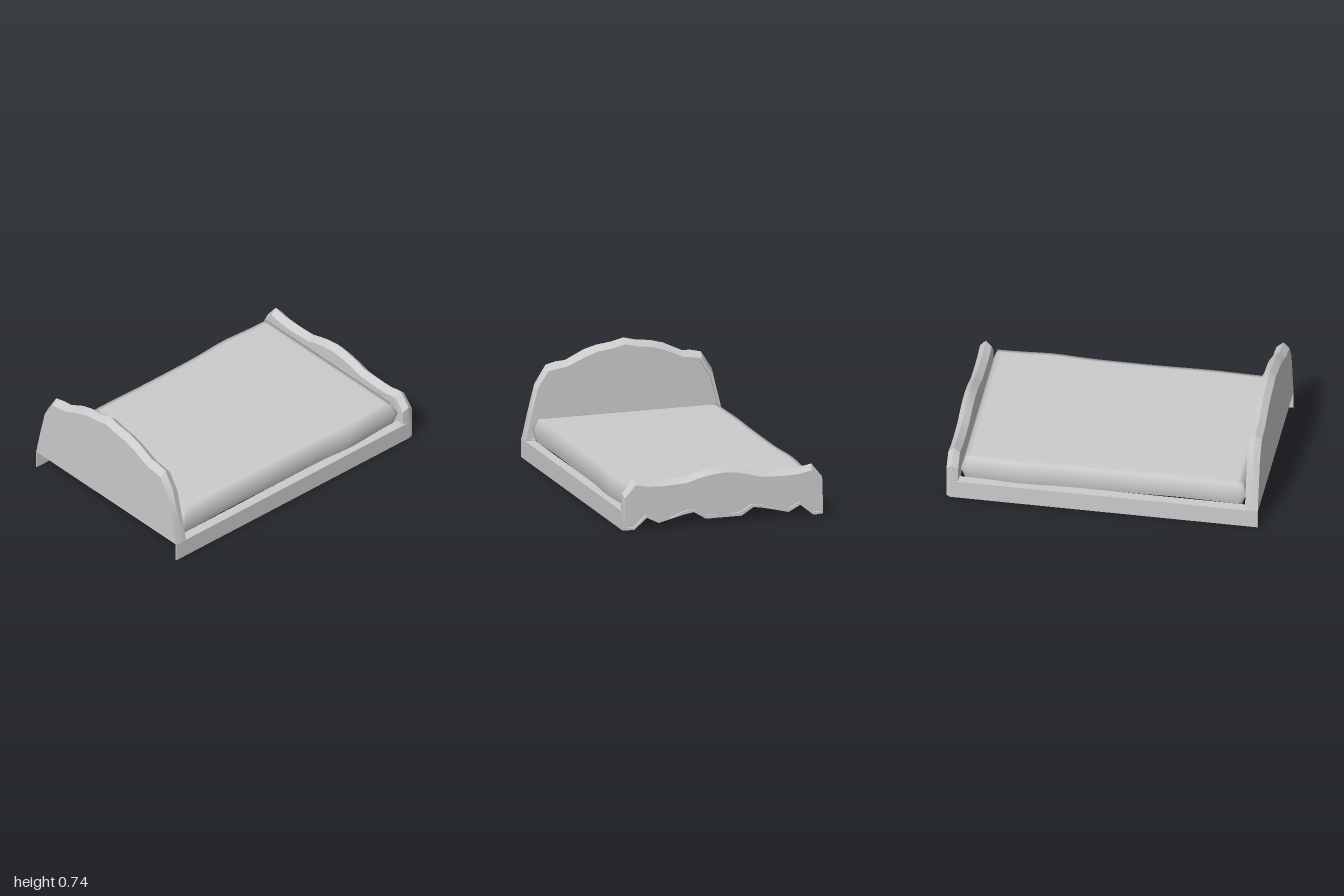
import * as THREE from 'three';
import { mergeGeometries, mergeVertices, toCreasedNormals } from 'three/addons/utils/BufferGeometryUtils.js';

const grey = new THREE.MeshStandardMaterial({ color: 0xcccccc });
const greyShell = new THREE.MeshStandardMaterial({ color: 0xcccccc, side: THREE.DoubleSide });

// Half outline (top centre, outwards, down to bottom centre) -> closed counter-clockwise loop
function mirrorLoop(half) {
  const left = half.filter(p => p[0] > 0).map(([u, v]) => [-u, v]).reverse();
  return [...half, ...left].reverse();
}
const mirrorPanel = loop => loop.map(([u, v]) => [-u, v]).reverse();
const toVectors = loop => loop.map(([u, v]) => new THREE.Vector2(u, v));

// Wall joining two loops of equal length at depths wa < wb
function band(a, wa, b, wb) {
  const pos = [];
  a.forEach((p, i) => {
    const j = (i + 1) % a.length, q = a[j], r = b[j], s = b[i];
    pos.push(...p, wa, ...q, wa, ...r, wb, ...p, wa, ...r, wb, ...s, wb);
  });
  const g = new THREE.BufferGeometry();
  g.setAttribute('position', new THREE.Float32BufferAttribute(pos, 3));
  return g;
}

function cap(loop, w, holes = [], back = false) {
  const shape = new THREE.Shape(toVectors(loop));
  shape.holes = holes.map(h => new THREE.Path(toVectors(h)));
  let g = new THREE.ShapeGeometry(shape);
  if (back) g.rotateY(Math.PI);
  g = g.translate(0, 0, w).toNonIndexed();
  g.deleteAttribute('uv');
  g.deleteAttribute('normal');
  return g;
}

// Board standing across x: two faces, a pointed rim and sunken panels on the +x face
function board(name, halves, panels, xs, recess) {
  const [back, ridge, face] = halves.map(mirrorLoop), [x0, xr, x1] = xs;
  const parts = [
    cap(back, x0, [], true), band(back, x0, ridge, xr), band(ridge, xr, face, x1), cap(face, x1, panels)
  ];
  for (const p of panels) {
    const r = [...p].reverse();
    parts.push(band(r, x1 - recess, r, x1), cap(p, x1 - recess));
  }
  const g = toCreasedNormals(mergeGeometries(parts).rotateY(Math.PI / 2), 0.5);
  const mesh = new THREE.Mesh(g, grey);
  mesh.name = name;
  return mesh;
}

function box(name, w, h, d, x, y, z) {
  const mesh = new THREE.Mesh(new THREE.BoxGeometry(w, h, d).translate(x, y, z), grey);
  mesh.name = name;
  return mesh;
}

// Soft hollow slab, open below: bulging sides, narrow rounding on top, gently uneven edges
function mattress() {
  const nx = 24, nz = 16;
  let g = new THREE.BoxGeometry(2, 2, 2, nx, 2, nz);
  const under = g.groups[3];
  g.setIndex([...g.index.array].filter((v, i) => i < under.start || i >= under.start + under.count));
  g.clearGroups();
  g.deleteAttribute('uv');
  g.deleteAttribute('normal');
  g = mergeVertices(g);
  const p = g.attributes.position;
  // moves the outermost inner ring of a grid to the given fraction of the half width
  const spread = (t, n, ring) => (Math.abs(t) > 0.999 ? t : t * ring / (1 - 2 / n));
  for (let i = 0; i < p.count; i++) {
    const x = p.getX(i), y = p.getY(i), z = p.getZ(i);
    const top = y > 0.5, bottom = y < -0.5;
    const u = spread(x, nx, 0.965), w = spread(z, nz, 0.95);
    const inside = Math.abs(x) < 0.999 && Math.abs(z) < 0.999;
    const bulge = 0.017 * Math.exp(-(((u - 0.6) / 0.2) ** 2));
    const hx = top || bottom ? 0.888 : 0.914;
    const hz = (top ? 0.598 : bottom ? 0.605 : 0.623) + bulge;
    const wave = 0.006 * Math.exp(-(((u + 0.55) / 0.25) ** 2));
    let h = 0.198;
    if (top) h = 0.27 + wave + (inside ? 0.003 : 0);
    if (bottom) h = 0.122 + wave;
    p.setXYZ(i, u * hx, h, w * hz);
  }
  g.computeVertexNormals();
  const mesh = new THREE.Mesh(g, greyShell);
  mesh.name = 'mattress';
  return mesh;
}

export function createModel() {
  const bed = new THREE.Group();
  bed.name = 'bed';

  // Tall headboard with one large sunken panel
  const headRidge = [[0, .735], [.08, .715], [.18, .703], [.265, .68], [.39, .62], [.45, .617], [.52, .6],
    [.593, .485], [.64, .28], [.67, .12], [0, .12]];
  const headFace = [[0, .7], [.08, .68], [.18, .668], [.265, .64], [.39, .585], [.45, .578], [.515, .565],
    [.585, .46], [.633, .27], [.667, .12], [0, .12]];
  const headPanel = mirrorLoop([[0, .685], [.08, .664], [.18, .65], [.265, .622], [.39, .57], [.44, .565], [.5, .55],
    [.572, .438], [.61, .29], [.635, .13], [0, .13]]);
  bed.add(board('headboard', [headFace, headRidge, headFace], [headPanel], [-1, -.96, -.917], .02));

  // Low footboard with a scalloped lower edge and four sunken panels
  const footBottom = [[.6, .003], [.513, .075], [.435, .035], [.27, .075], [.2, .087], [.12, .037], [0, .037]];
  const backBottom = [[.6, .003], [.56, .1], [.435, .115], [.27, .115], [.2, .115], [.12, .115], [0, .115]];
  const footRidge = [[0, .367], [.09, .356], [.17, .336], [.25, .312], [.4, .31], [.5, .312], [.597, .33],
    [.67, .24], [.67, .003], ...footBottom];
  const footTop = [[0, .329], [.09, .32], [.17, .303], [.25, .28], [.4, .273], [.5, .277], [.59, .294],
    [.66, .215], [.664, .006]];
  const sidePanel = [[.435, .055], [.515, .095], [.6, .02], [.648, .02], [.652, .205], [.575, .276],
    [.5, .26], [.435, .253]];
  const midPanel = [[.04, .055], [.11, .058], [.19, .105], [.27, .095], [.36, .055], [.36, .253],
    [.25, .262], [.14, .3], [.04, .312]];
  const panels = [sidePanel, midPanel].flatMap(p => [p, mirrorPanel(p)]);
  const footHalves = [[...footTop, ...backBottom], footRidge, [...footTop, ...footBottom]];
  bed.add(board('footboard', footHalves, panels, [.925, .965, 1], .015));

  // Side rails: thin outer boards with a ledge under the mattress edge
  for (const s of [1, -1]) {
    const rail = new THREE.Group();
    rail.name = s > 0 ? 'frontRail' : 'backRail';
    rail.add(box('railBoard', 1.98, .122, .008, -.01, .061, s * .666));
    rail.add(box('railLedge', 1.9, .006, .065, -.01, .119, s * .6375));
    bed.add(rail);
  }

  bed.add(mattress());
  return bed;
}
